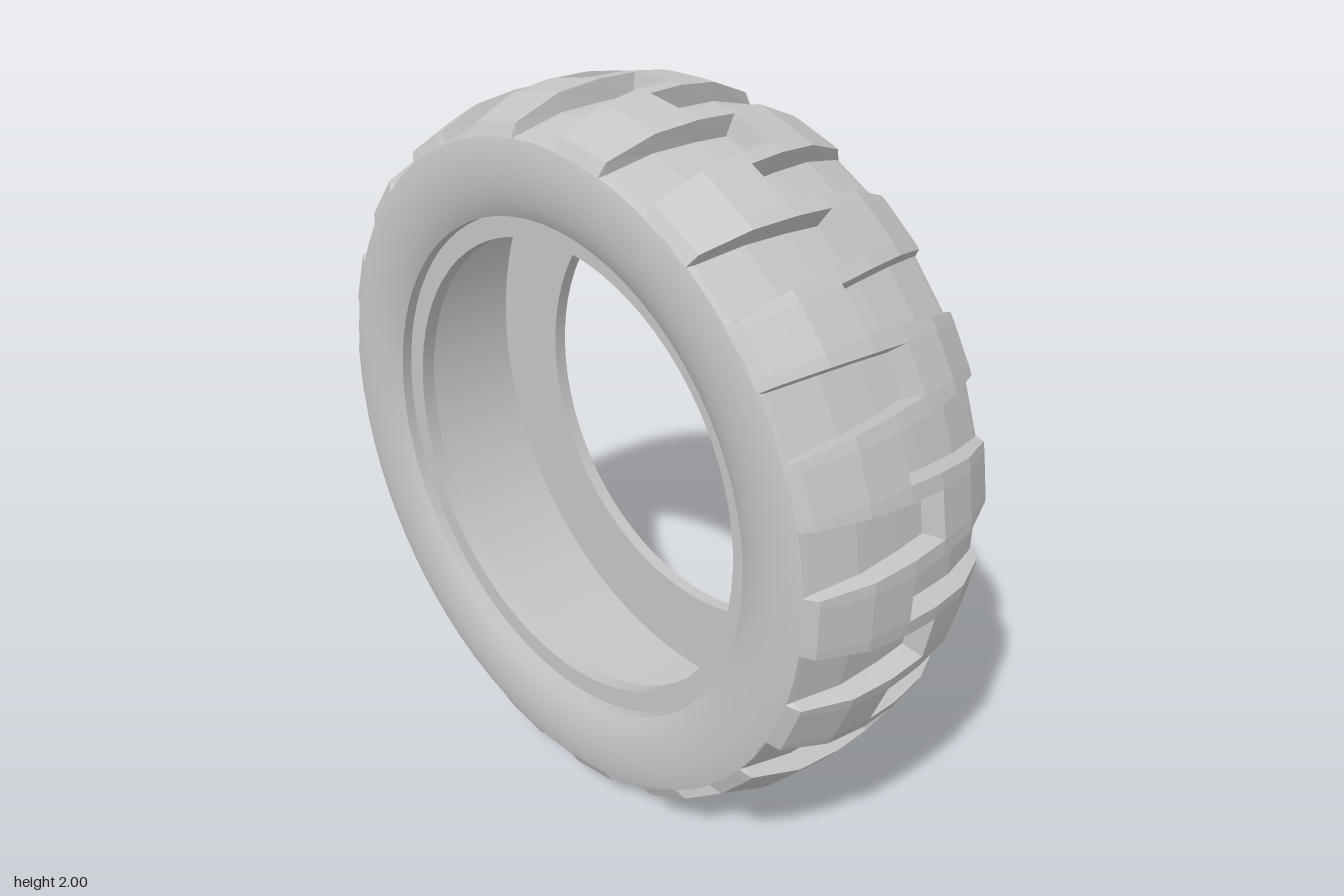
import * as THREE from 'three';

const DEG = Math.PI / 180;

// Tread cross-section: z position, block-top radius, groove-floor radius
const ROWS = [
  [-0.328, 0.90, 0.90], [-0.31, 0.935, 0.906], [-0.18, 0.985, 0.938], [-0.055, 1.0, 0.945],
  [0.055, 1.0, 0.945], [0.18, 0.985, 0.938], [0.31, 0.935, 0.906], [0.328, 0.90, 0.90],
];
const GROOVES = 36; // alternating: even open to the front, odd to the back
const SIDE_DRAFT = 0.3 * DEG; // groove walls lean inward toward the floor
const END_DRAFT = 0.014;

// Half-angle of a groove, widening toward its open side
function halfAngle(k, z) {
  const d = k % 2 ? -z : z;
  const t = Math.min(1, Math.max(0, (d + 0.055) / 0.365));
  return (3.6 + 1.5 * t) * DEG;
}

function buildTread() {
  const blocks = [], grooves = [];
  const point = (r, a, z) => [r * Math.sin(a), r * Math.cos(a), z];
  const quad = (out, a, b, c, d, flip = false) => {
    const q = flip ? [a, d, c, b] : [a, b, c, d];
    for (const i of [0, 1, 2, 0, 2, 3]) out.push(...q[i]);
  };

  for (let k = 0; k < GROOVES; k++) {
    const front = k % 2 === 0;
    const endRow = front ? 3 : 4;
    // Point on the block top beside groove n
    const top = (i, side, n = k) => {
      const [z, r] = ROWS[i];
      return point(r, n * 10 * DEG + side * halfAngle(n, z), z);
    };
    // Point on the floor edge of this groove
    const floor = (i, side) => {
      const [z, , r] = ROWS[i];
      const zf = i === endRow ? z + (front ? END_DRAFT : -END_DRAFT) : z;
      return point(r, k * 10 * DEG + side * (halfAngle(k, z) - SIDE_DRAFT), zf);
    };

    for (let i = 0; i < ROWS.length - 1; i++) {
      const j = i + 1;
      // Solid block up to the next groove
      quad(blocks, top(i, 1), top(j, 1), top(j, -1, k + 1), top(i, -1, k + 1));
      if (front ? i >= endRow : i < endRow) {
        // Groove floor and side walls
        quad(grooves, floor(i, -1), floor(j, -1), floor(j, 1), floor(i, 1));
        quad(grooves, floor(i, -1), top(i, -1), top(j, -1), floor(j, -1));
        quad(grooves, floor(i, 1), top(i, 1), top(j, 1), floor(j, 1), true);
      } else {
        // Block top beyond the groove's closed end
        quad(blocks, top(i, -1), top(j, -1), top(j, 1), top(i, 1));
      }
    }
    // Groove end wall
    quad(grooves, floor(endRow, -1), floor(endRow, 1), top(endRow, 1), top(endRow, -1), !front);
  }
  return [blocks, grooves].map((pos) => {
    const g = new THREE.BufferGeometry();
    g.setAttribute('position', new THREE.Float32BufferAttribute(pos, 3));
    g.computeVertexNormals();
    return g;
  });
}

export function createModel() {
  const rubber = new THREE.MeshStandardMaterial({ color: 0xc4c4c4 });
  rubber.name = 'grey rubber';
  const tyre = new THREE.Group();
  tyre.name = 'tyre';
  const add = (name, geometry) => {
    const mesh = new THREE.Mesh(geometry, rubber);
    mesh.name = name;
    tyre.add(mesh);
  };

  // Surface of revolution about the wheel axis (z)
  const ring = (name, profile) => {
    const g = new THREE.LatheGeometry(profile.map(([r, z]) => new THREE.Vector2(r, z)), 72);
    add(name, g.rotateX(Math.PI / 2));
  };

  // Tread
  const [blocks, grooves] = buildTread();
  add('treadBlocks', blocks);
  add('treadGrooves', grooves);

  // Sidewall and stepped bead, mirrored front to back
  const parts = {
    Sidewall: [[0.902, 0.327], [0.87, 0.335], [0.83, 0.337], [0.79, 0.335], [0.75, 0.327], [0.72, 0.316], [0.70, 0.305]],
    BeadStep: [[0.70, 0.305], [0.70, 0.275]],
    BeadFace: [[0.70, 0.275], [0.64, 0.275]],
    BeadBore: [[0.64, 0.275], [0.64, 0.235]],
    InnerWall: [[0.64, 0.235], [0.90, 0.235]],
  };
  for (const [name, profile] of Object.entries(parts)) {
    ring('front' + name, profile);
    ring('back' + name, profile.map(([r, z]) => [r, -z]).reverse());
  }
  // Hollow inside of the tyre
  ring('innerLining', [[0.90, 0.235], [0.90, -0.235]]);

  tyre.position.y = 1;
  const model = new THREE.Group();
  model.name = 'tyreModel';
  model.add(tyre);
  return model;
}
